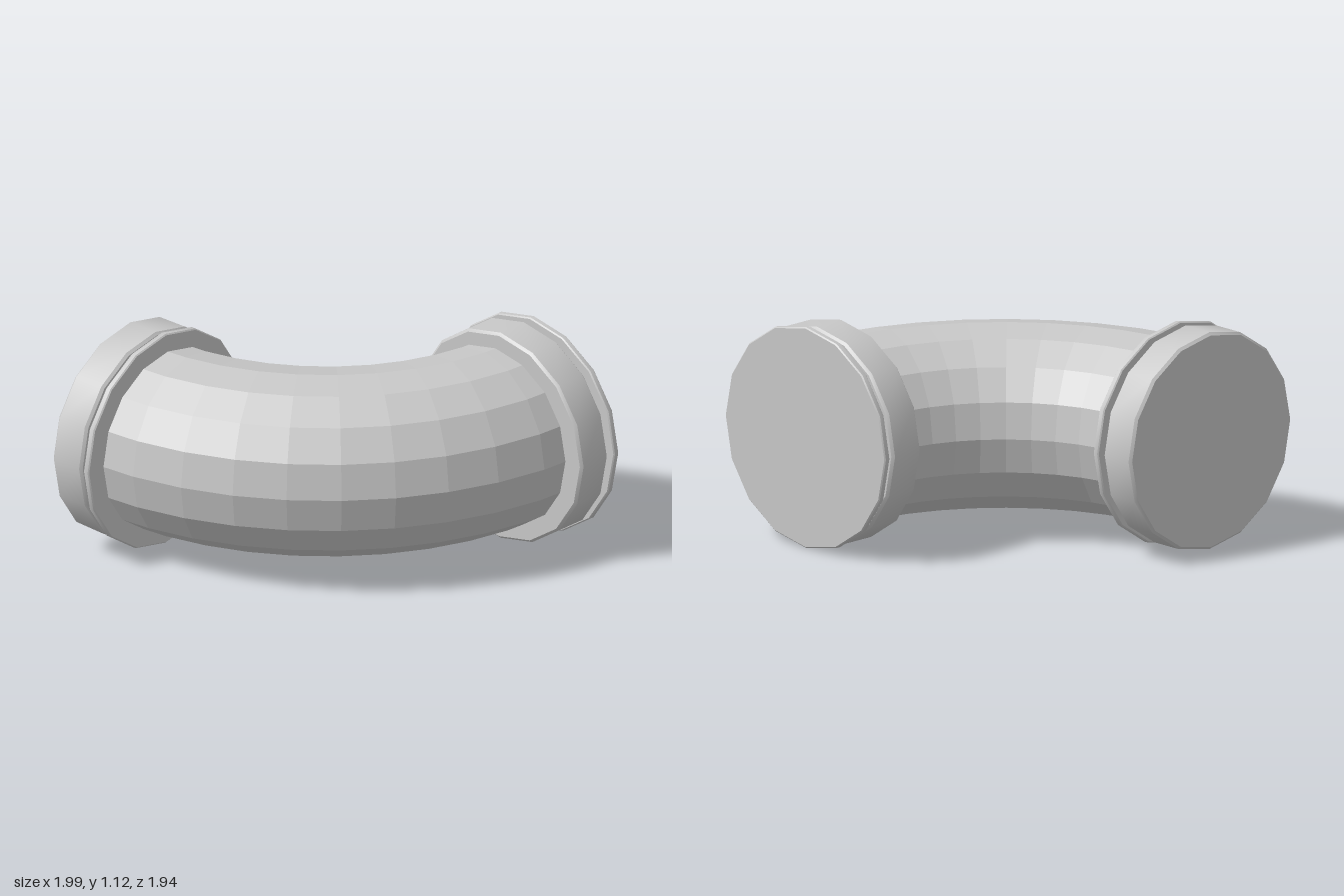
import * as THREE from 'three';
import { toCreasedNormals } from 'three/addons/utils/BufferGeometryUtils.js';

const SIDES = 16;
const AXIS_Y = 0.57;

// Solid disc with bevelled rims, turned about the y axis and centred on the origin
function bevelledDisc(radius, depth, bevel) {
  const h = depth / 2;
  const profile = [
    [0, -h], [radius - bevel, -h], [radius, -h + bevel],
    [radius, h - bevel], [radius - bevel, h], [0, h],
  ].map(([x, y]) => new THREE.Vector2(x, y));
  return toCreasedNormals(new THREE.LatheGeometry(profile, SIDES), Math.PI / 6);
}

export function createModel() {
  const group = new THREE.Group();
  group.name = 'pipeElbow';
  const metal = new THREE.MeshStandardMaterial({ color: 0xc8c8c8 });
  metal.name = 'greyMetal';

  function add(name, geometry, x, z) {
    const mesh = new THREE.Mesh(geometry, metal);
    mesh.name = name;
    mesh.position.set(x, AXIS_Y, z);
    group.add(mesh);
  }

  // Faceted quarter bend
  const bend = new THREE.TorusGeometry(1.25, 0.465, SIDES, 10, Math.PI / 2)
    .rotateX(Math.PI / 2).toNonIndexed();
  bend.computeVertexNormals();
  add('bentPipe', bend, -0.83, -0.85);

  // Side end: collar outside, thin ring on the pipe
  const toX = (g) => g.rotateZ(-Math.PI / 2);
  add('sideCollar', toX(bevelledDisc(0.552, 0.193, 0.013)), -0.9, 0.405);
  add('sideRing', toX(bevelledDisc(0.562, 0.035, 0.006)), -0.762, 0.405);

  // Back end: collar on the pipe, thin plate just beyond it
  const toZ = (g) => g.rotateX(Math.PI / 2);
  add('backCollar', toZ(bevelledDisc(0.552, 0.193, 0.013)), 0.432, -0.817);
  add('backPlate', toZ(bevelledDisc(0.562, 0.035, 0.006)), 0.434, -0.959);

  return group;
}
